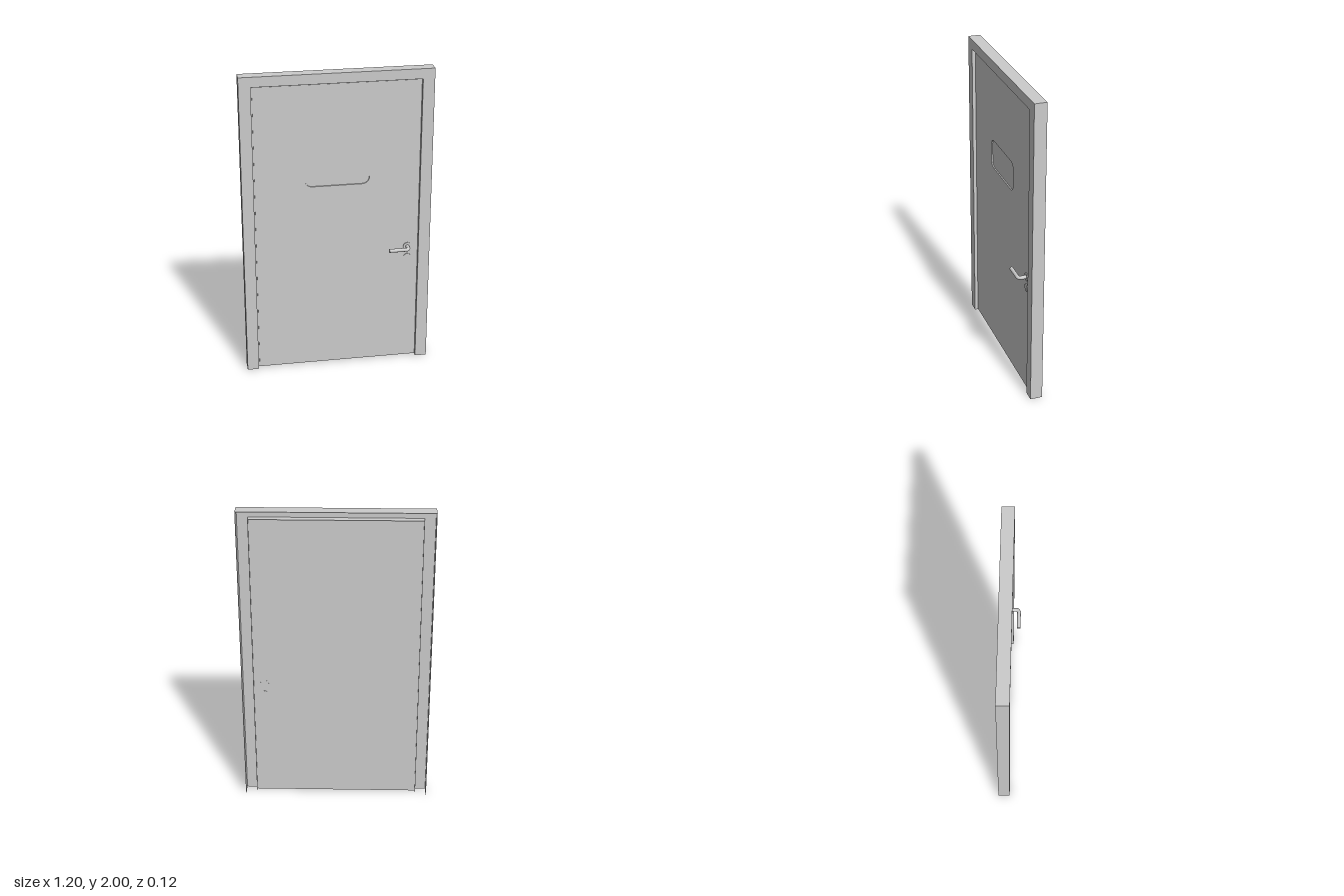
import * as THREE from 'three';

const W = 0.6, H = 2, OPEN = 0.526, TOP = 1.936; // frame half width, height, opening
const FRONT = 0.013, BACK = -0.065, SHEET = 0.003;
const LEAF_FRONT = -0.006, LEAF_BACK = -0.018;
const LOCK_X = 0.457;

const material = new THREE.MeshStandardMaterial({ color: 0xcccccc, side: THREE.DoubleSide });

function add(parent, name, geometry, x = 0, y = 0, z = 0) {
  const mesh = new THREE.Mesh(geometry, material);
  mesh.name = name;
  mesh.position.set(x, y, z);
  parent.add(mesh);
  return mesh;
}

// Box given by its limits
function block(parent, name, x0, x1, y0, y1, z0, z1) {
  return add(parent, name, new THREE.BoxGeometry(x1 - x0, y1 - y0, z1 - z0),
    (x0 + x1) / 2, (y0 + y1) / 2, (z0 + z1) / 2);
}

// Rounded rectangle centred on (0, cy)
function roundedRect(Type, hw, hh, r, cy) {
  const s = new Type();
  s.absarc(hw - r, cy + hh - r, r, 0, Math.PI / 2);
  s.absarc(-hw + r, cy + hh - r, r, Math.PI / 2, Math.PI);
  s.absarc(-hw + r, cy - hh + r, r, Math.PI, Math.PI * 1.5);
  s.absarc(hw - r, cy - hh + r, r, Math.PI * 1.5, Math.PI * 2);
  s.closePath();
  return s;
}

function slab(shape, depth) {
  return new THREE.ExtrudeGeometry(shape, { depth, bevelEnabled: false, curveSegments: 10 });
}

// Rectangular panel with the window cut out
function leafPanel(hw, y0, y1, depth) {
  const s = new THREE.Shape([[-hw, y0], [hw, y0], [hw, y1], [-hw, y1]].map(p => new THREE.Vector2(...p)));
  s.holes.push(roundedRect(THREE.Path, 0.204, 0.095, 0.045, 1.36));
  return slab(s, depth);
}

// Disc facing along z
function disc(parent, name, r, x, y, z0, z1) {
  const g = new THREE.CylinderGeometry(r, r, z1 - z0, 32).rotateX(Math.PI / 2);
  return add(parent, name, g, x, y, (z0 + z1) / 2);
}

function buildFrame() {
  const frame = new THREE.Group();
  frame.name = 'frame';
  // Front casing, open at the floor
  const face = new THREE.Shape([
    [-W, 0], [-OPEN, 0], [-OPEN, TOP], [OPEN, TOP], [OPEN, 0], [W, 0], [W, H], [-W, H],
  ].map(p => new THREE.Vector2(...p)));
  add(frame, 'frontCasing', slab(face, SHEET), 0, 0, FRONT - SHEET);
  // Hollow behind: deep outer walls and a shorter return round the opening
  const z = FRONT - SHEET, returnBack = -0.032;
  for (const s of [-1, 1]) {
    const wall = s * (W - SHEET / 2), lining = s * (OPEN + SHEET / 2), h = SHEET / 2;
    block(frame, 'outerSideWall', wall - h, wall + h, 0, H, BACK, z);
    block(frame, 'sideReturn', lining - h, lining + h, 0, TOP + SHEET, returnBack, z);
  }
  block(frame, 'outerTopWall', -W, W, H - SHEET, H, BACK, z);
  block(frame, 'topReturn', -OPEN, OPEN, TOP, TOP + SHEET, returnBack, z);
  return frame;
}

function buildLeaf() {
  const leaf = new THREE.Group();
  leaf.name = 'doorLeaf';
  // Narrower front layer on a rebated back layer
  const mid = (LEAF_FRONT + LEAF_BACK) / 2;
  add(leaf, 'frontPanel', leafPanel(0.518, 0.008, 1.929, LEAF_FRONT - mid), 0, 0, mid);
  add(leaf, 'backPanel', leafPanel(OPEN, 0.004, TOP, mid - LEAF_BACK), 0, 0, LEAF_BACK);
  // Window pane, recessed at the front and flush at the back
  const pane = roundedRect(THREE.Shape, 0.204, 0.095, 0.045, 1.36);
  add(leaf, 'windowPane', slab(pane, 0.004), 0, 0, LEAF_BACK);
  return leaf;
}

function buildLock() {
  const lock = new THREE.Group();
  lock.name = 'lock';
  const y = 0.81, keyY = 0.735, r = 0.012, barZ = 0.048, tipX = 0.326;
  disc(lock, 'handleRose', 0.027, LOCK_X, y, LEAF_FRONT - 0.002, LEAF_FRONT + 0.005);
  disc(lock, 'keyRose', 0.024, LOCK_X, keyY, LEAF_FRONT - 0.002, LEAF_FRONT + 0.005);
  disc(lock, 'backHandlePlate', 0.027, LOCK_X, y, LEAF_BACK - 0.001, LEAF_BACK + 0.002);
  disc(lock, 'backKeyPlate', 0.024, LOCK_X, keyY, LEAF_BACK - 0.001, LEAF_BACK + 0.002);

  // Lever: spindle, rounded elbow and grip in one tube
  const bend = 0.02;
  const v = (x, z) => new THREE.Vector3(x, y, z);
  const path = new THREE.CurvePath();
  path.add(new THREE.LineCurve3(v(LOCK_X, LEAF_FRONT), v(LOCK_X, barZ - bend)));
  path.add(new THREE.QuadraticBezierCurve3(v(LOCK_X, barZ - bend), v(LOCK_X, barZ), v(LOCK_X - bend, barZ)));
  path.add(new THREE.LineCurve3(v(LOCK_X - bend, barZ), v(tipX + 0.004, barZ)));
  add(lock, 'lever', new THREE.TubeGeometry(path, 60, r, 16, false));
  // Slightly domed grip end
  const tip = new THREE.SphereGeometry(r, 16, 6, 0, Math.PI * 2, 0, Math.PI / 2)
    .scale(1, 0.33, 1).rotateZ(Math.PI / 2);
  add(lock, 'leverTip', tip, tipX + 0.004, y, barZ);
  return lock;
}

export function createModel() {
  const door = new THREE.Group();
  door.name = 'door';
  door.add(buildFrame(), buildLeaf(), buildLock());
  return door;
}
